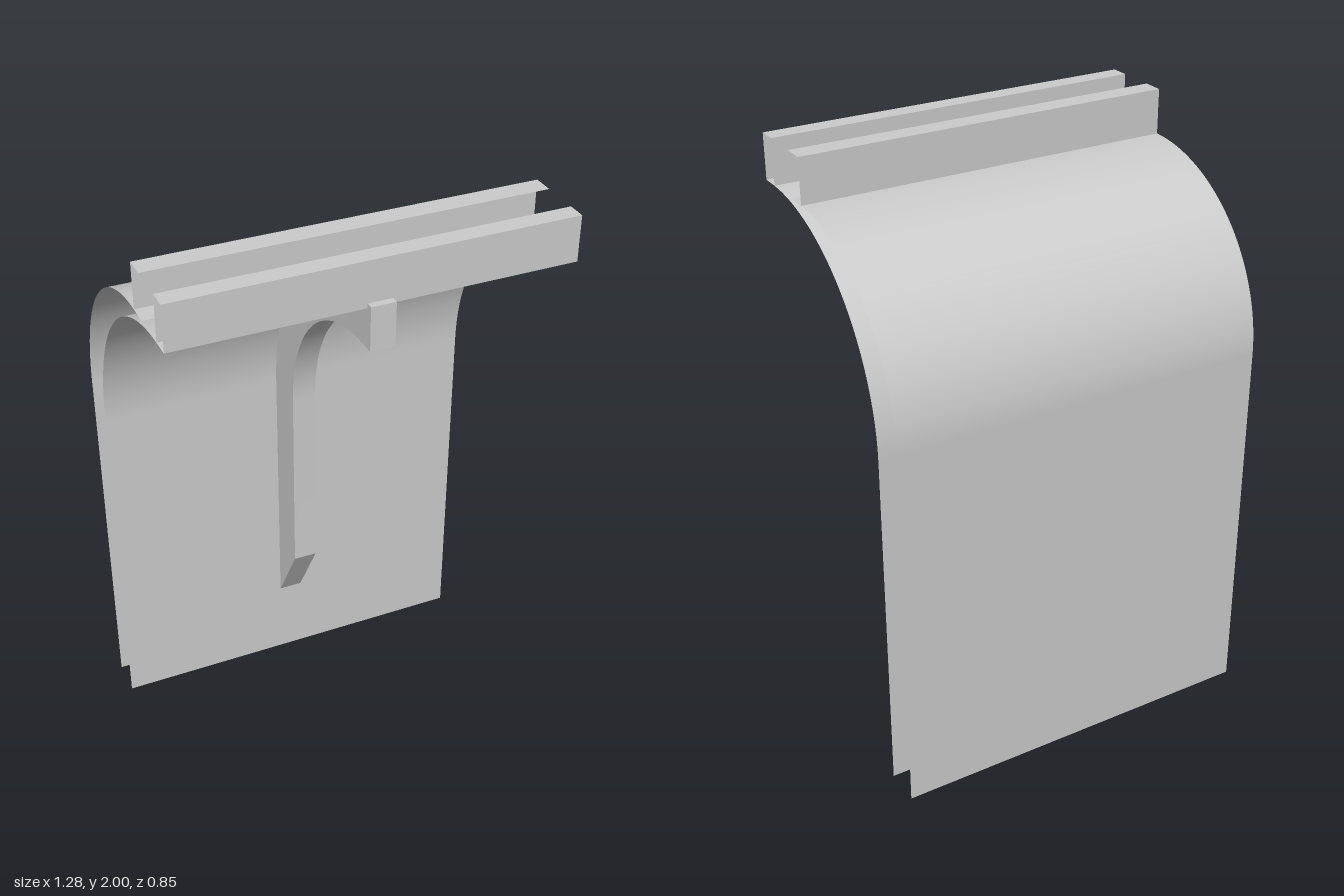
import * as THREE from 'three';
import { toCreasedNormals } from 'three/addons/utils/BufferGeometryUtils.js';

const WIDTH = 1.28;
const material = new THREE.MeshStandardMaterial({ color: 0xcccccc, side: THREE.DoubleSide });

// Thin sheet spanning the full width along a profile of [z, y] points
function sheet(name, profile) {
  const geometry = new THREE.PlaneGeometry(WIDTH, 1, 1, profile.length - 1);
  const position = geometry.attributes.position;
  for (let i = 0; i < position.count; i++) {
    const [z, y] = profile[Math.floor(i / 2)];
    position.setY(i, y);
    position.setZ(i, z);
  }
  geometry.computeVertexNormals();
  const mesh = new THREE.Mesh(geometry, material);
  mesh.name = name;
  return mesh;
}

// Quarter circle from its top (above the centre) down to its back
function quarterArc(z, y, radius, steps = 32) {
  return Array.from({ length: steps + 1 }, (_, i) => {
    const a = (i / steps) * Math.PI / 2;
    return [z - radius * Math.sin(a), y + radius * Math.cos(a)];
  });
}

// Rail made of flat walls between consecutive [z, y] corners
function rail(name, corners) {
  const group = new THREE.Group();
  group.name = name;
  for (let i = 1; i < corners.length; i++) {
    group.add(sheet(name + 'Wall' + i, [corners[i - 1], corners[i]]));
  }
  return group;
}

// Curved central rib with a slanted lower end
function createRib() {
  const shape = new THREE.Shape();
  shape.moveTo(0.425, 1.865);
  shape.lineTo(0.365, 1.865);
  shape.absarc(0.365, 1.2, 0.665, Math.PI / 2, Math.PI, false);
  shape.lineTo(-0.3, 0.28);
  shape.lineTo(-0.155, 0.53);
  shape.lineTo(-0.155, 1.2);
  shape.absarc(0.365, 1.2, 0.52, Math.PI, Math.PI / 2, true);
  shape.lineTo(0.425, 1.72);
  const geometry = new THREE.ExtrudeGeometry(shape, { depth: 0.08, bevelEnabled: false, curveSegments: 32 });
  geometry.translate(0, 0, -0.04);
  geometry.rotateY(-Math.PI / 2);
  const mesh = new THREE.Mesh(toCreasedNormals(geometry, 0.5), material);
  mesh.name = 'centralRib';
  return mesh;
}

export function createModel() {
  const model = new THREE.Group();
  model.name = 'curvedPanel';

  // Two curved skins, open at the ends and bottom
  model.add(sheet('outerSkin', [...quarterArc(0.145, 1.28, 0.57), [-0.425, 0]]));
  model.add(sheet('innerSkin', [[0.4, 1.85], ...quarterArc(0.35, 1.2, 0.65), [-0.3, 0]]));

  // Rear rail is a channel open to the front, front rail is a hollow box
  model.add(rail('rearRail', [[0.215, 2], [0.145, 2], [0.145, 1.85], [0.215, 1.85]]));
  model.add(rail('frontRail', [[0.34, 1.85], [0.34, 2], [0.402, 2], [0.402, 1.85], [0.34, 1.85]]));

  model.add(createRib());
  return model;
}
